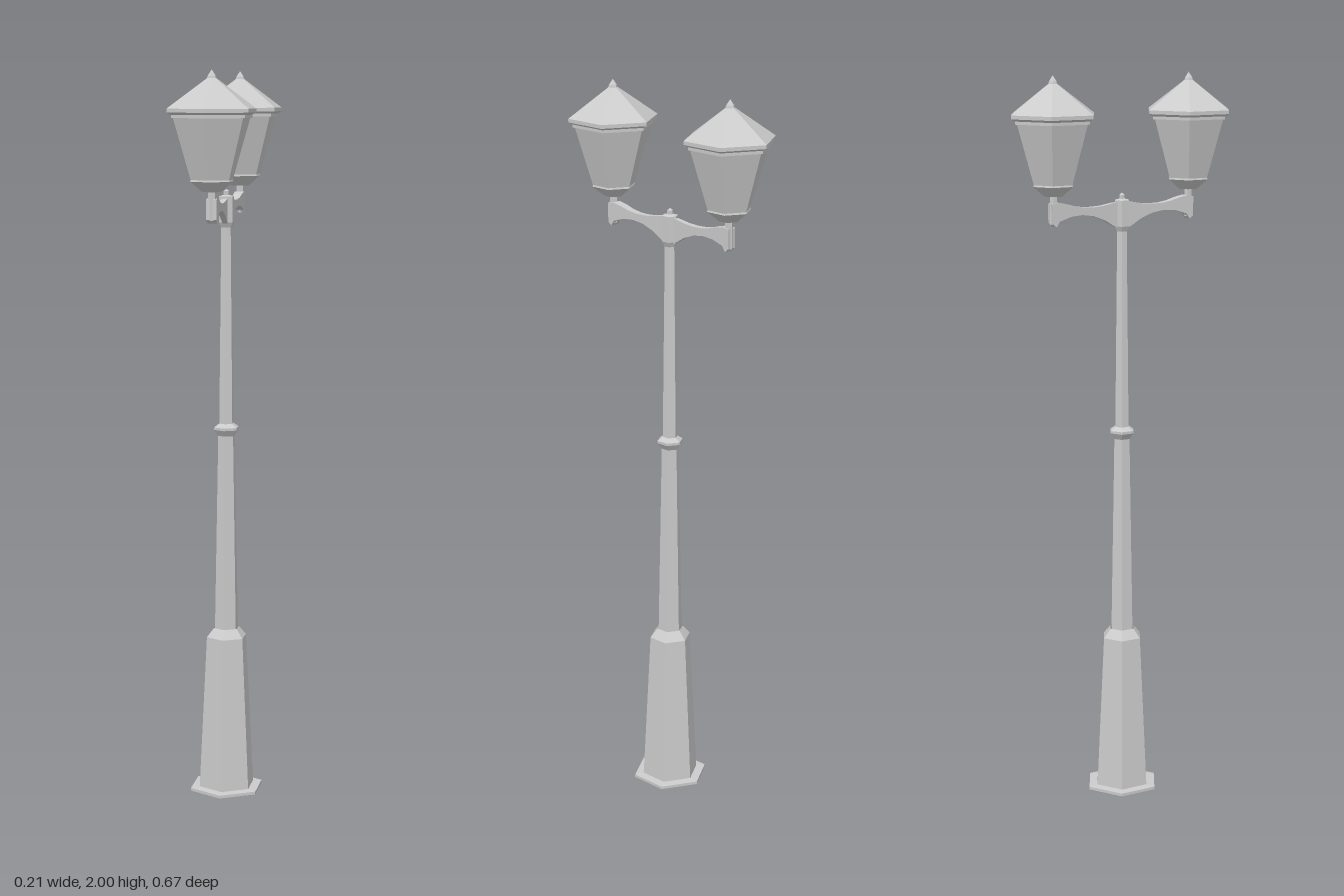
import * as THREE from 'three';

const mat = new THREE.MeshStandardMaterial({ color: 0xcccccc, flatShading: true, side: THREE.DoubleSide });

function add(parent, name, geometry, y = 0) {
  const mesh = new THREE.Mesh(geometry, mat);
  mesh.name = name;
  mesh.position.y = y;
  parent.add(mesh);
  return mesh;
}

// six-sided turned part from [radius, height] pairs, corners on the z axis
function hexTurn(points) {
  const g = new THREE.LatheGeometry(points.map(([r, y]) => new THREE.Vector2(r, y)), 6).toNonIndexed();
  g.computeVertexNormals();
  return g;
}

// bracket profile (distance from the pole, height), widening outwards
function armGeometry() {
  const s = new THREE.Shape();
  s.moveTo(0, 1.66);
  s.lineTo(0.03, 1.658);
  s.quadraticCurveTo(0.11, 1.64, 0.17, 1.662);
  s.lineTo(0.2, 1.668);
  s.lineTo(0.218, 1.665);
  s.lineTo(0.218, 1.612);
  s.lineTo(0.207, 1.603);
  s.lineTo(0.197, 1.618);
  s.quadraticCurveTo(0.11, 1.655, 0.022, 1.592);
  s.lineTo(0, 1.59);
  const g = new THREE.ExtrudeGeometry(s, { depth: 2, bevelEnabled: false, curveSegments: 5 });
  g.translate(0, 0, -1);
  const p = g.attributes.position;
  for (let i = 0; i < p.count; i++) {
    p.setZ(i, p.getZ(i) * (0.006 + 0.035 * p.getX(i)));
  }
  g.rotateY(-Math.PI / 2);
  g.computeVertexNormals();
  return g;
}

function createLamp() {
  const lamp = new THREE.Group();
  lamp.name = 'lamp';
  add(lamp, 'lampStem', hexTurn([[0, 1.61], [0.011, 1.61], [0.011, 1.7]]));
  add(lamp, 'lampCup', hexTurn([[0, 1.685], [0.027, 1.685], [0.06, 1.712], [0.058, 1.718]]));
  add(lamp, 'lampGlass', hexTurn([[0.058, 1.715], [0.107, 1.878]]));
  add(lamp, 'lampRim', hexTurn([[0.1, 1.876], [0.112, 1.876], [0.112, 1.884], [0.124, 1.89], [0.124, 1.9]]));
  add(lamp, 'lampRoof', hexTurn([[0.124, 1.9], [0.013, 1.978], [0.011, 1.985], [0, 2]]));
  return lamp;
}

export function createModel() {
  const model = new THREE.Group();
  model.name = 'streetLamp';

  // base, hollow underneath
  add(model, 'footPlate', hexTurn([[0.08, 0], [0.106, 0], [0.106, 0.008], [0.08, 0.01]]));
  add(model, 'base', hexTurn([[0.08, 0.01], [0.058, 0.44], [0.037, 0.465]]));

  // shaft, collar and head
  add(model, 'lowerShaft', hexTurn([[0.034, 0.463], [0.024, 1.01]]));
  add(model, 'collar', hexTurn([[0.024, 1.008], [0.036, 1.025], [0.036, 1.032], [0.021, 1.042]]));
  add(model, 'upperShaft', hexTurn([[0.021, 1.04], [0.015, 1.582]]));
  add(model, 'poleHead', hexTurn([[0.015, 1.58], [0.022, 1.594], [0.022, 1.664], [0.008, 1.668], [0.008, 1.678], [0, 1.684]]));

  // two opposite arms, each carrying a lamp
  for (const [side, turn] of [['front', 0], ['back', Math.PI]]) {
    const branch = new THREE.Group();
    branch.name = side + 'Branch';
    branch.rotation.y = turn;
    add(branch, side + 'Arm', armGeometry());
    const lamp = createLamp();
    lamp.position.z = 0.209;
    branch.add(lamp);
    model.add(branch);
  }
  return model;
}
